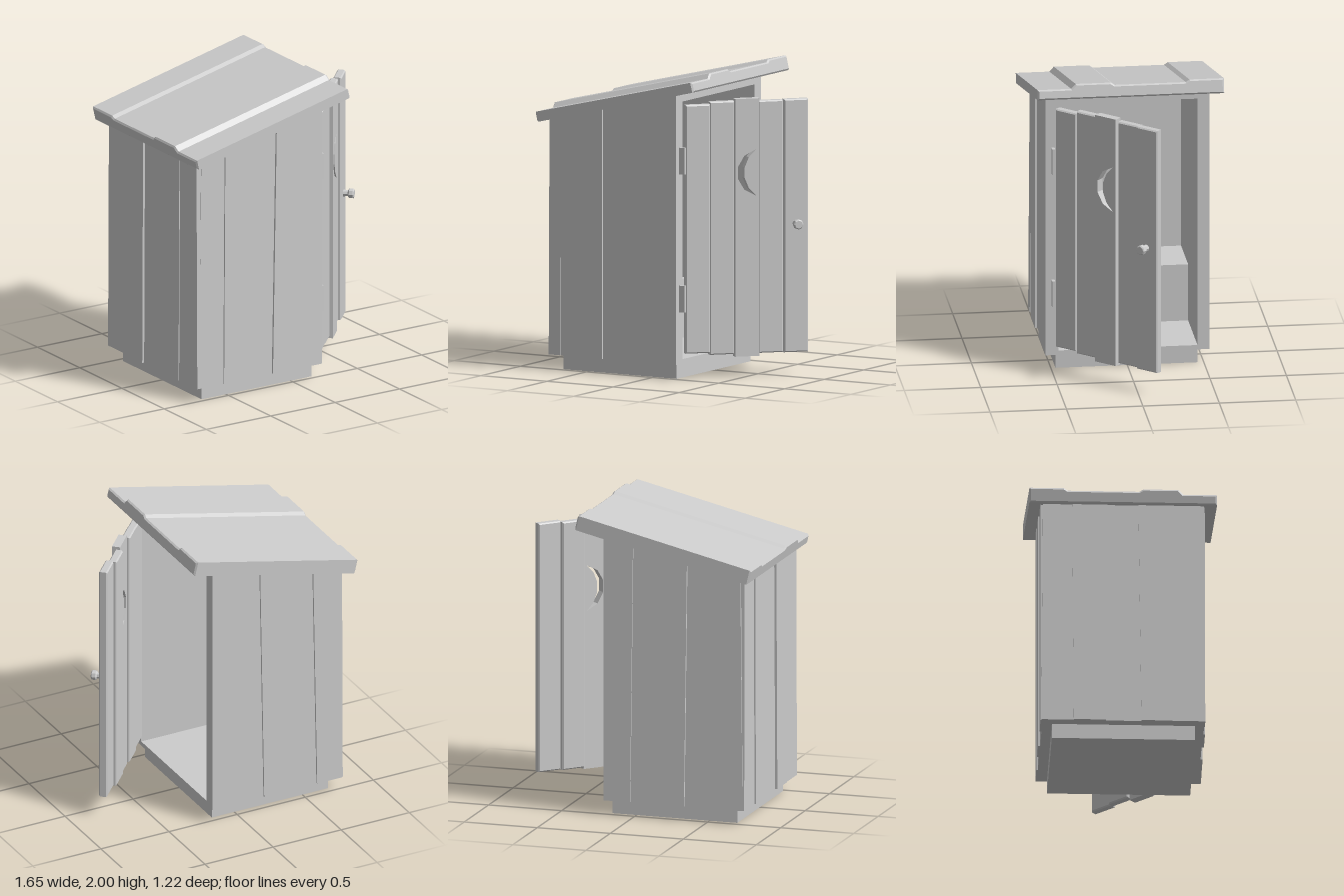
import * as THREE from 'three';

const SLOPE = 0.236;                                   // roof rise per unit x
const roofUnderside = (x) => 1.63 + (x + 0.81) * SLOPE;

export function createModel() {
  const root = new THREE.Group();
  const wood = new THREE.MeshStandardMaterial({ color: 0xcccccc, flatShading: true });
  wood.name = 'paleGreyWood';

  const add = (name, geo, parent = root) => {
    const mesh = new THREE.Mesh(geo, wood);
    mesh.name = name;
    parent.add(mesh);
    return mesh;
  };
  const poly = (pts) => new THREE.Shape(pts.map(([x, y]) => new THREE.Vector2(x, y)));
  const slab = (shape, depth, bevel = 0) => {
    const geo = new THREE.ExtrudeGeometry(shape, {
      depth: depth - 2 * bevel, curveSegments: 5, bevelEnabled: bevel > 0,
      bevelSize: bevel, bevelThickness: bevel, bevelOffset: -bevel, bevelSegments: 1,
    });
    return geo.translate(0, 0, bevel);
  };
  // Box given by its lower and upper corners
  const block = (name, [x0, y0, z0], [x1, y1, z1]) =>
    add(name, new THREE.BoxGeometry(x1 - x0, y1 - y0, z1 - z0)
      .translate((x0 + x1) / 2, (y0 + y1) / 2, (z0 + z1) / 2));

  // Plinth, floor, header and bench
  block('plinth', [-0.69, 0, -0.46], [0.165, 0.1, 0.47]);
  block('floor', [-0.72, 0.1, -0.47], [0.2, 0.13, 0.47]);
  block('doorHeader', [0.15, 1.82, -0.47], [0.2, 1.86, 0.47]);
  block('bench', [-0.7, 0.13, -0.46], [-0.3, 0.515, 0.46]);

  // Side walls: planks with slightly crooked seams, tops cut to the roof slope
  const sideWall = (name, sign, bottom, top, depths) => {
    depths.forEach((depth, i) => {
      const [a, b, c, d] = [bottom[i], bottom[i + 1], top[i + 1], top[i]];
      const shape = poly([[a, 0.1], [b, 0.1], [c, roofUnderside(c) + 0.01], [d, roofUnderside(d) + 0.01]]);
      const geo = slab(shape, depth);
      geo.translate(0, 0, sign > 0 ? 0.455 : -0.455 - depth);
      add(name, geo);
    });
  };
  sideWall('frontWallPlank', 1, [-0.75, -0.56, -0.36, -0.18, 0.025, 0.2],
    [-0.73, -0.55, -0.36, -0.15, 0.025, 0.2], [0.075, 0.085, 0.07, 0.084, 0.085]);
  sideWall('rearWallPlank', -1, [-0.75, -0.57, -0.35, -0.18, 0.02, 0.2],
    [-0.735, -0.54, -0.37, -0.15, 0.0, 0.2], [0.08, 0.068, 0.082, 0.07, 0.08]);

  // End wall opposite the doorway
  const zBottom = [-0.53, -0.32, -0.11, 0.12, 0.32, 0.535];
  const zTop = [-0.52, -0.33, -0.1, 0.1, 0.33, 0.525];
  [0.08, 0.09, 0.075, 0.09, 0.085].forEach((depth, i) => {
    const shape = poly([[zBottom[i], 0.1], [zBottom[i + 1], 0.1], [zTop[i + 1], 1.65], [zTop[i], 1.65]]);
    add('endWallPlank', slab(shape, depth).rotateY(-Math.PI / 2).translate(-0.68, 0, 0));
  });

  // Roof: stepped board profile swept up the slope
  const roofProfile = poly([[-0.61, 0], [0.61, 0], [0.61, 0.098], [0.385, 0.098], [0.36, 0.082],
    [-0.105, 0.082], [-0.13, 0.098], [-0.36, 0.098], [-0.39, 0.067], [-0.61, 0.067]]);
  add('roof', slab(roofProfile, 1.218, 0.01).rotateY(Math.PI / 2)
    .rotateZ(Math.atan(SLOPE)).translate(-0.81, 1.63, 0));

  // Open door: local x runs from the hinge, local z points outward
  const door = new THREE.Group();
  door.name = 'door';
  door.position.set(0.24, 0, 0.48);
  door.rotation.y = 0.823;
  root.add(door);
  const width = 0.165;
  [[0.17, 1.8, 0], [0.155, 1.815, -0.005], [0.14, 1.83, 0.015], [0.155, 1.81, -0.005], [0.155, 1.815, 0.015]]
    .forEach(([y0, y1, out], i) => {
      const x0 = i * width, x1 = x0 + width;
      const shape = poly([[x0, y0], [x1, y0], [x1, y1], [x0, y1]]);
      if (i === 2) {                                   // crescent cut-out
        const moon = new THREE.Path();
        moon.moveTo(0.475, 1.5);
        moon.bezierCurveTo(0.3, 1.46, 0.3, 1.23, 0.475, 1.19);
        moon.bezierCurveTo(0.362, 1.27, 0.362, 1.42, 0.475, 1.5);
        shape.holes.push(moon);
      }
      add('doorPlank', slab(shape, 0.055, i === 2 ? 0 : 0.008).translate(0, 0, out - 0.055), door);
    });

  // Knob on a tapered stem
  const knob = [[0, 0], [0.024, 0], [0.02, 0.035], [0.033, 0.045], [0.033, 0.07], [0.026, 0.076], [0, 0.076]];
  add('doorKnob', new THREE.LatheGeometry(knob.map(([r, y]) => new THREE.Vector2(r, y)), 8)
    .rotateX(Math.PI / 2).translate(0.74, 1.0, 0.01), door);

  // Hinges
  for (const y of [0.53, 1.435]) block('hinge', [0.19, y - 0.0875, 0.48], [0.24, y + 0.0875, 0.5]);

  return root;
}
